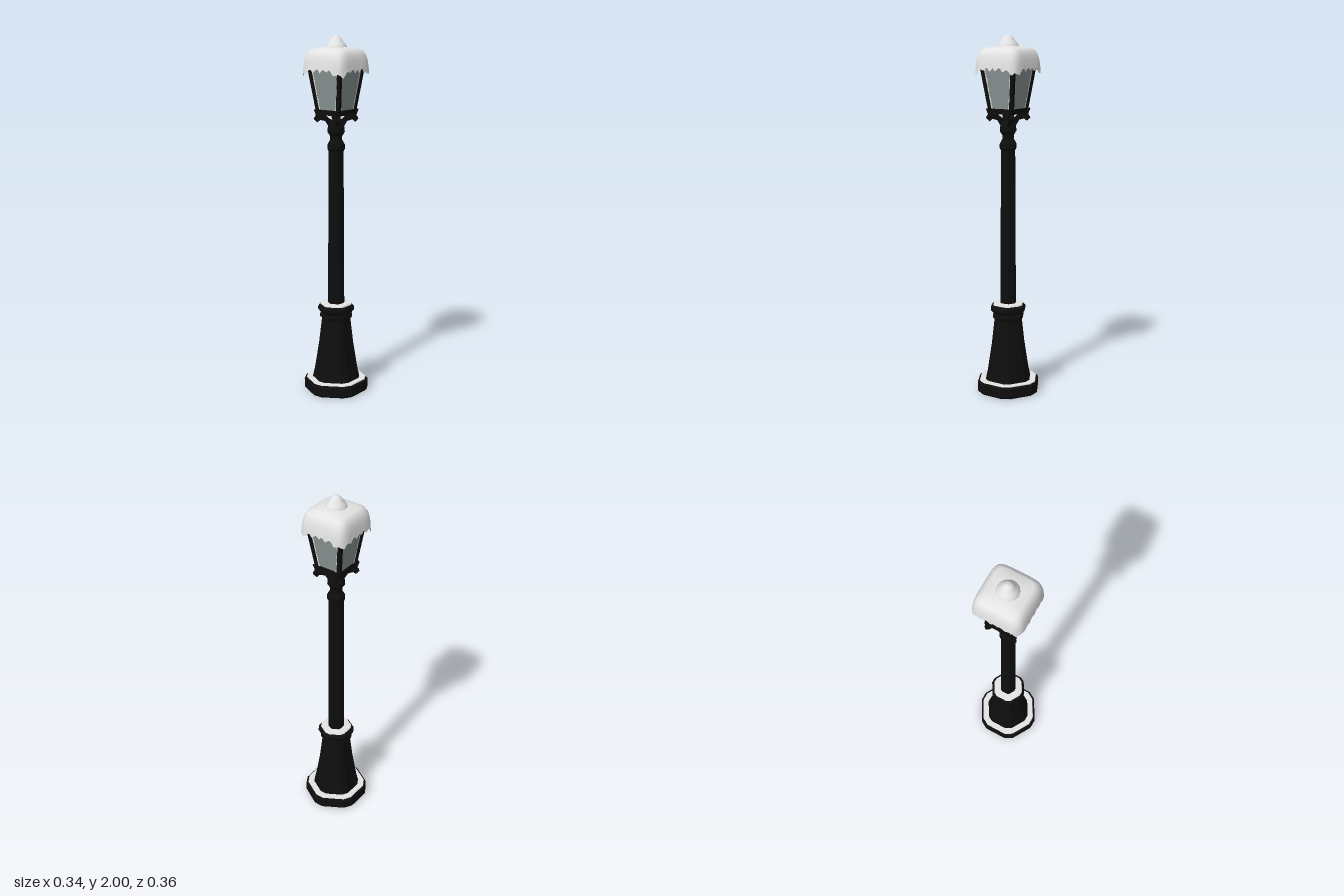
import * as THREE from 'three';

const iron = new THREE.MeshStandardMaterial({ color: 0x0e0e0e });
iron.name = 'black iron';
const snow = new THREE.MeshStandardMaterial({ color: 0xe4e4e4 });
snow.name = 'snow';
const glass = new THREE.MeshStandardMaterial({ color: 0x8a9494 });
glass.name = 'frosted glass';

// Skins closed rings of points, bottom to top on the outside
function loft(rings, flat) {
  const n = rings[0].length, pos = [], index = [];
  rings.forEach(ring => ring.forEach(p => pos.push(...p)));
  for (let j = 0; j < rings.length - 1; j++) {
    for (let i = 0; i < n; i++) {
      const a = j * n + i, b = j * n + (i + 1) % n;
      index.push(a, a + n, b, b, a + n, b + n);
    }
  }
  let g = new THREE.BufferGeometry();
  g.setAttribute('position', new THREE.Float32BufferAttribute(pos, 3));
  g.setIndex(index);
  if (flat) g = g.toNonIndexed();
  g.computeVertexNormals();
  return g;
}

// Hexagon with cut corners; a is the distance to its flat sides
function hexRing(a, y) {
  const ring = [], half = THREE.MathUtils.degToRad(21.5), r = a / Math.cos(half);
  for (let k = 0; k < 6; k++) {
    for (const s of [-1, 1]) {
      const t = k * Math.PI / 3 + s * half;
      ring.push([r * Math.cos(t), y, r * Math.sin(t)]);
    }
  }
  return ring;
}
const hexLoft = profile => loft(profile.map(([a, y]) => hexRing(a, y)), true);

// Rounded square; yAt may vary the height along the ring
const SIDES = 80;
function squareRing(a, yAt, n = 5.6) {
  const ring = [];
  for (let i = 0; i < SIDES; i++) {
    const t = i / SIDES * Math.PI * 2, c = Math.cos(t), s = Math.sin(t);
    const r = a / Math.pow(Math.abs(c) ** n + Math.abs(s) ** n, 1 / n);
    ring.push([r * c, typeof yAt === 'function' ? yAt(i, t) : yAt, r * s]);
  }
  return ring;
}

// Jagged snow edge, drooping at the corners
const drips = [0, 0.012, 0.022, 0.006, 0, 0.016, 0.008, 0, 0.01, 0.024, 0.004];
const hem = (i, t) => 1.828 - 0.026 * Math.abs(Math.sin(2 * t)) ** 8 - drips[i % drips.length] * 0.9;

export function createModel() {
  const model = new THREE.Group();
  const add = (name, geometry, material, parent = model) => {
    const mesh = new THREE.Mesh(geometry, material);
    mesh.name = name;
    parent.add(mesh);
    return mesh;
  };

  // Pedestal and post
  add('foot', hexLoft([[0, 0], [0.158, 0], [0.168, 0.01], [0.168, 0.058], [0.16, 0.068], [0, 0.068]]), iron);
  add('pedestal', hexLoft([[0.125, 0.066], [0.112, 0.13], [0.09, 0.28], [0.076, 0.41], [0.075, 0.425],
    [0.084, 0.432], [0.084, 0.448], [0.078, 0.455], [0.095, 0.476], [0.095, 0.49], [0.082, 0.505], [0, 0.505]]), iron);
  add('post', hexLoft([[0.043, 0.5], [0.038, 1.375], [0.045, 1.39], [0.045, 1.412], [0.03, 1.44], [0.031, 1.46],
    [0.044, 1.482], [0.043, 1.505], [0.036, 1.53], [0.02, 1.54], [0, 1.54]]), iron);

  // Snow lying on the ledges
  add('footSnow', hexLoft([[0.158, 0.066], [0.155, 0.073], [0.118, 0.073]]), snow);
  add('collarSnow', hexLoft([[0.084, 0.5], [0.08, 0.511], [0.04, 0.514]]), snow);

  // Scrolled brackets carrying the lantern corners
  const scroll = new THREE.Shape([[0, 1.49], [0.04, 1.51], [0.06, 1.543], [0.088, 1.55], [0.104, 1.537],
    [0.122, 1.555], [0.11, 1.575], [0.122, 1.606], [0.095, 1.606], [0.062, 1.578], [0.032, 1.552], [0, 1.542]]
    .map(p => new THREE.Vector2(...p)));
  const bracket = new THREE.ExtrudeGeometry(scroll, { depth: 0.02, bevelEnabled: false }).translate(0, 0, -0.01);

  // Lantern
  const lantern = new THREE.Group();
  lantern.name = 'lantern';
  model.add(lantern);
  const y0 = 1.6, y1 = 1.85;
  add('lanternFloor', new THREE.BoxGeometry(0.158, 0.028, 0.158).translate(0, 1.592, 0), iron, lantern);
  const pane = new THREE.CylinderGeometry(0.102 * Math.SQRT2, 0.07 * Math.SQRT2, y1 - y0, 4, 1, true)
    .toNonIndexed().rotateY(Math.PI / 4).translate(0, (y0 + y1) / 2, 0);
  pane.computeVertexNormals();
  add('glassPanes', pane, glass, lantern);

  // Leaning corner bar
  const bar = new THREE.BoxGeometry(0.02, y1 - y0, 0.02).translate(0, (y0 + y1) / 2, 0);
  const bp = bar.attributes.position;
  for (let i = 0; i < bp.count; i++) {
    const off = bp.getY(i) > 1.7 ? 0.103 : 0.069;
    bp.setX(i, bp.getX(i) + off);
    bp.setZ(i, bp.getZ(i) + off);
  }
  bar.computeVertexNormals();

  // Ragged frost along the bar, lying on the sloping pane
  const frostEdge = [[0.07, 1.606]];
  const widths = [0.014, 0.008, 0.012, 0.005, 0.009, 0.006, 0.012, 0.005, 0.01, 0.015];
  widths.forEach((w, i) => {
    const u = i / (widths.length - 1), y = 1.606 + u * 0.234;
    frostEdge.push([0.06 + 0.03 * u - w * 0.8, y]);
  });
  frostEdge.push([0.1, 1.84]);
  const frost = new THREE.ShapeGeometry(new THREE.Shape(frostEdge.map(p => new THREE.Vector2(...p))));
  const fp = frost.attributes.position;
  for (let i = 0; i < fp.count; i++) fp.setZ(i, 0.073 + 0.032 * (fp.getY(i) - y0) / (y1 - y0));
  frost.computeVertexNormals();
  const frostMirror = frost.clone().scale(-1, 1, 1);
  const fi = frostMirror.index.array;
  for (let i = 0; i < fi.length; i += 3) [fi[i], fi[i + 1]] = [fi[i + 1], fi[i]];
  frostMirror.computeVertexNormals();

  for (let k = 0; k < 4; k++) {
    const turn = k * Math.PI / 2;
    add('bracket', bracket, iron).rotation.y = turn + Math.PI / 4;
    add('cornerBar', bar, iron, lantern).rotation.y = turn;
    add('paneFrost', frost, snow, lantern).rotation.y = turn;
    add('paneFrost', frostMirror, snow, lantern).rotation.y = turn;
  }

  // Snow-covered roof with a dripping hem, its underside and the cap on top
  add('roofSnow', loft([squareRing(0.144, hem), squareRing(0.141, 1.842), squareRing(0.137, 1.87),
    squareRing(0.13, 1.898), squareRing(0.117, 1.92), squareRing(0.1, 1.931), squareRing(0.06, 1.94, 3),
    squareRing(0, 1.945)]), snow, lantern);
  add('roofUnderside', loft([squareRing(0, 1.85), squareRing(0.11, 1.848), squareRing(0.128, 1.842),
    squareRing(0.144, hem)]), snow, lantern);
  const cap = [[0.064, 1.928], [0.056, 1.946], [0.05, 1.958], [0.036, 1.972], [0.029, 1.986], [0.016, 1.997], [0, 2]];
  add('snowCap', new THREE.LatheGeometry(cap.map(p => new THREE.Vector2(...p)), 14), snow, lantern);

  return model;
}
